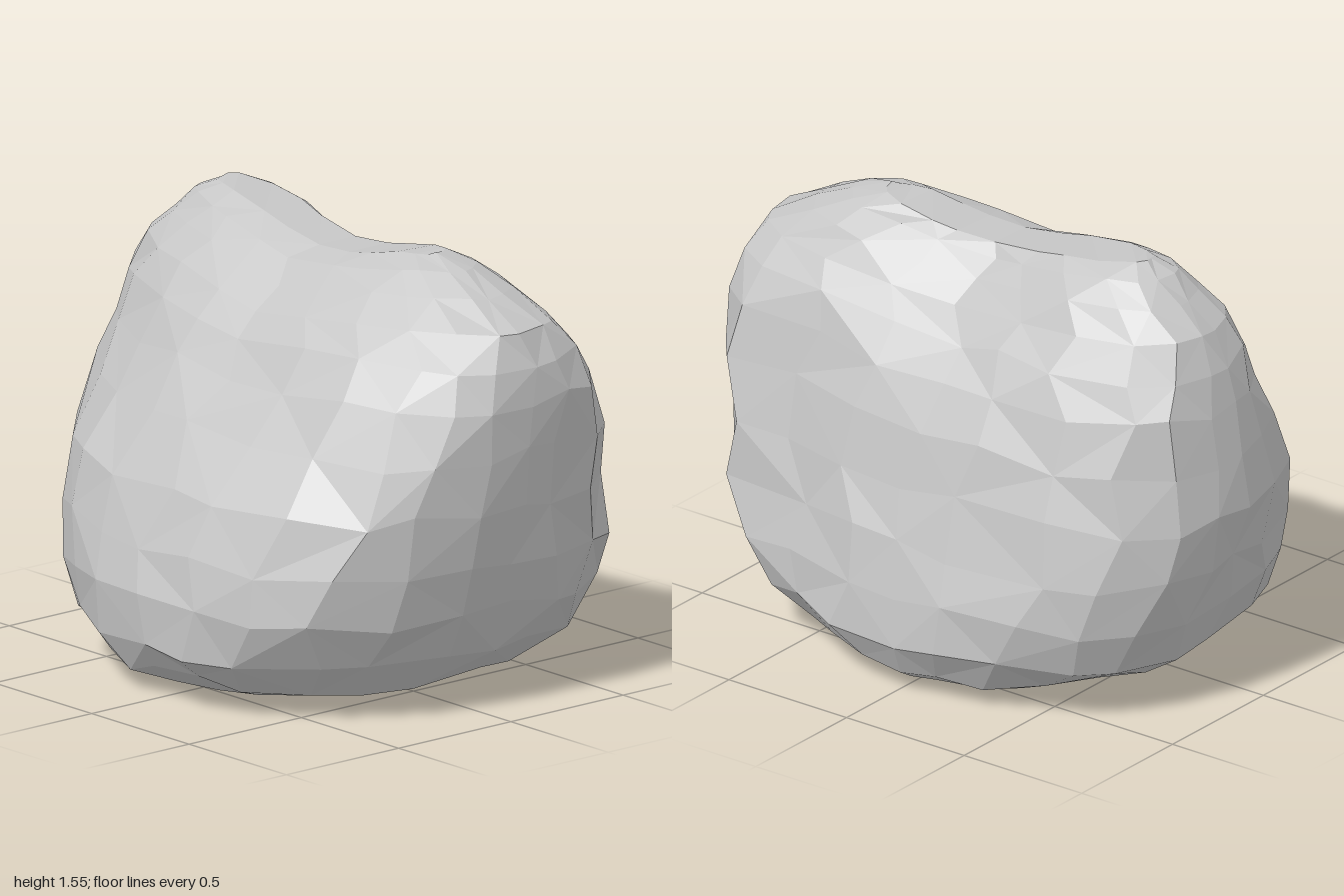
import * as THREE from 'three';

const { smoothstep, lerp } = THREE.MathUtils;

// Small seeded random in the range -1..1
function seeded(seed) {
  return () => {
    seed = (seed * 16807) % 2147483647;
    return (seed / 2147483647) * 2 - 1;
  };
}

const bump = (v, centre, width) => Math.exp(-(((v - centre) / width) ** 2));

// Horizontal cross-sections: [height, left x, right x, back z, front z]
const SECTIONS = [
  [0.008, -0.40, 0.42, -0.32, 0.32],
  [0.03, -0.60, 0.65, -0.50, 0.48],
  [0.09, -0.71, 0.72, -0.69, 0.69],
  [0.20, -0.785, 0.785, -0.84, 0.81],
  [0.36, -0.785, 0.765, -0.91, 0.88],
  [0.54, -0.74, 0.72, -0.96, 0.925],
  [0.73, -0.67, 0.67, -1.0, 0.965],
  [0.92, -0.53, 0.62, -0.975, 0.985],
  [1.10, -0.42, 0.57, -0.95, 1.0],
  [1.24, -0.34, 0.51, -0.925, 0.995],
  [1.35, -0.26, 0.44, -0.87, 0.95],
  [1.44, -0.17, 0.38, -0.77, 0.78],
  [1.51, -0.09, 0.31, -0.69, 0.64],
  [1.548, 0.01, 0.24, -0.61, 0.50],
];
const SEGMENTS = 24;
const CENTRE_X = 0.1;

// How square each corner of a cross-section is: round at the foot,
// squarer round the body, and softer again at the crown
function squareness(c, s, y) {
  const [body, crown] = c > 0
    ? (s > 0 ? [4.4, 2.7] : [3.3, 3.1])
    : (s > 0 ? [3.1, 2.0] : [2.2, 2.2]);
  const lower = lerp(2.05, body, smoothstep(y, 0.05, 0.5));
  return lerp(lower, crown, smoothstep(y, 1.0, 1.4));
}

// Saddle between the two peaks, and the valley running down the left flank
function sculpt(p) {
  const upper = smoothstep(p.y, 0.9, 1.5);
  const flank = smoothstep(p.x, 0.05, 0.4);
  const middle = smoothstep(p.y, 0.1, 0.35) * (1 - upper);
  p.x -= flank * (0.13 * upper * bump(p.z, 0, 0.33) + 0.08 * middle * bump(p.z, 0.53, 0.22));
  p.y -= upper * (0.09 * bump(p.z, 0, 0.32) + 0.025 * smoothstep(p.z, -0.2, 0.5));
  return p;
}

function rockGeometry() {
  const random = seeded(4711);
  const points = [];
  const index = [];

  // Rounded, slightly irregular rings
  SECTIONS.forEach(([y, left, right, back, front], i) => {
    const rough = i < 2 || i > 9 ? 0.25 : 1;
    for (let j = 0; j < SEGMENTS; j++) {
      const angle = ((j + random() * 0.25) / SEGMENTS) * Math.PI * 2;
      const c = Math.cos(angle);
      const s = Math.sin(angle);
      const n = squareness(c, s, y);
      const r = (Math.abs(c) ** n + Math.abs(s) ** n) ** (-1 / n) * (1 + random() * 0.01);
      points.push(sculpt(new THREE.Vector3(
        CENTRE_X + c * r * (c > 0 ? right - CENTRE_X : CENTRE_X - left),
        y + random() * 0.025 * rough,
        s * r * (s > 0 ? front : -back),
      )));
    }
  });

  // Skin between neighbouring rings, with alternating diagonals
  for (let i = 0; i < SECTIONS.length - 1; i++) {
    for (let j = 0; j < SEGMENTS; j++) {
      const k = (j + 1) % SEGMENTS;
      const a = i * SEGMENTS + j;
      const b = i * SEGMENTS + k;
      const c = a + SEGMENTS;
      const d = b + SEGMENTS;
      if ((i + j) % 2) index.push(a, c, d, a, d, b);
      else index.push(a, c, b, b, c, d);
    }
  }

  // Underside
  const bottom = points.push(new THREE.Vector3(0.05, 0, 0)) - 1;
  for (let j = 0; j < SEGMENTS; j++) index.push(bottom, j, (j + 1) % SEGMENTS);

  // Crown, bridged from side to side so that it follows the saddle
  const last = (SECTIONS.length - 1) * SEGMENTS;
  const quarter = SEGMENTS / 4;
  const rim = (j) => last + ((j + SEGMENTS) % SEGMENTS);
  for (let j = -quarter; j < quarter; j++) {
    const a = rim(j);
    const b = rim(j + 1);
    const c = rim(2 * quarter - j);
    const d = rim(2 * quarter - j - 1);
    if (b !== d) index.push(a, d, b);
    if (a !== c) index.push(a, c, d);
  }

  const geometry = new THREE.BufferGeometry().setFromPoints(points);
  geometry.setIndex(index);
  const faceted = geometry.toNonIndexed();
  faceted.computeVertexNormals();
  return faceted;
}

export function createModel() {
  const stone = new THREE.MeshStandardMaterial({ color: 0xc6c6c6, flatShading: true });
  stone.name = 'stone grey';

  const rock = new THREE.Mesh(rockGeometry(), stone);
  rock.name = 'boulder';

  const model = new THREE.Group();
  model.name = 'rock';
  model.add(rock);
  return model;
}
